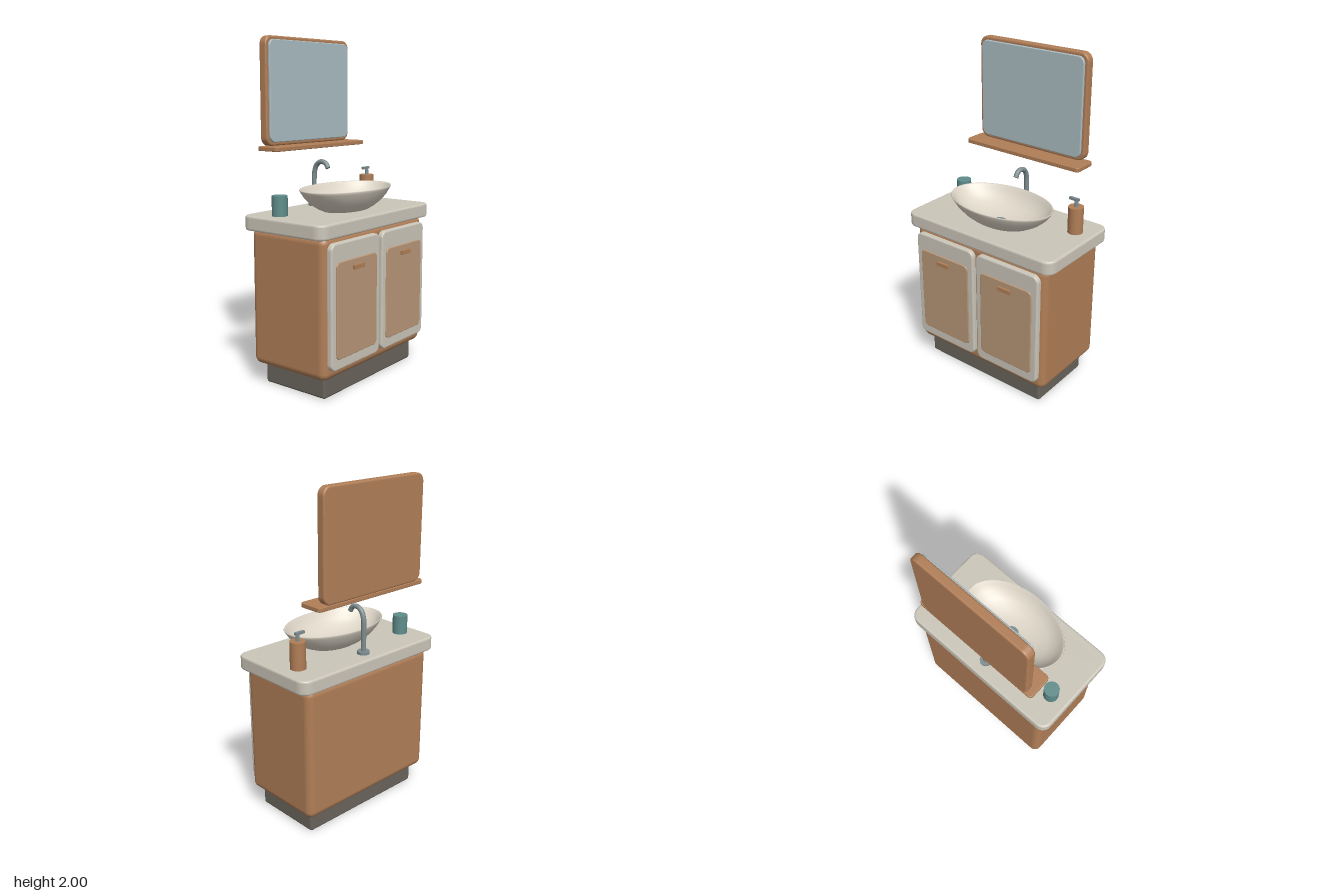
import * as THREE from 'three';
import { RoundedBoxGeometry } from 'three/addons/geometries/RoundedBoxGeometry.js';

const mat = (name, color, side = THREE.FrontSide) => {
  const m = new THREE.MeshStandardMaterial({ color, side });
  m.name = name;
  return m;
};

export function createModel() {
  const model = new THREE.Group();
  model.name = 'washstand';
  const wood = mat('wood', 0xb07e57);
  const panelWood = mat('light wood', 0xb89677);
  const stone = mat('stone', 0xcbc6b9);
  const ceramic = mat('ceramic', 0xddd5c7);
  const plinthGrey = mat('plinth grey', 0x69645c);
  const glass = mat('mirror glass', 0xaabdc3);
  const metal = mat('metal', 0x7f8d90);
  const teal = mat('teal', 0x5f8d8b);

  const add = (name, geometry, material, x = 0, y = 0, z = 0, parent = model) => {
    const mesh = new THREE.Mesh(geometry, material);
    mesh.name = name;
    mesh.position.set(x, y, z);
    parent.add(mesh);
    return mesh;
  };

  // Bevelled slab with rounded corners, centred, facing +z
  const slab = (w, h, d, r, bevel, segments = 5) => {
    const x = w / 2 - bevel, y = h / 2 - bevel, c = r - bevel;
    const s = new THREE.Shape();
    s.absarc(x - c, y - c, c, 0, Math.PI / 2);
    s.absarc(-x + c, y - c, c, Math.PI / 2, Math.PI);
    s.absarc(-x + c, -y + c, c, Math.PI, Math.PI * 1.5);
    s.absarc(x - c, -y + c, c, Math.PI * 1.5, Math.PI * 2);
    s.closePath();
    return new THREE.ExtrudeGeometry(s, {
      depth: d - 2 * bevel, bevelThickness: bevel, bevelSize: bevel,
      bevelSegments: 3, curveSegments: segments,
    }).translate(0, 0, bevel - d / 2);
  };
  const flatSlab = (w, h, d, r, bevel, segments) =>
    slab(w, d, h, r, bevel, segments).rotateX(-Math.PI / 2);

  // Cabinet
  add('plinth', new RoundedBoxGeometry(0.86, 0.14, 0.44, 3, 0.015), plinthGrey, 0, 0.07, -0.01);
  add('cabinet', new RoundedBoxGeometry(0.97, 0.805, 0.54, 5, 0.045), wood, 0, 0.5225, -0.015);
  add('countertop', flatSlab(1.068, 0.085, 0.59, 0.06, 0.012, 3), stone, 0, 0.9575, -0.013);

  // Pair of doors with inset panels and pulls
  for (const side of [-1, 1]) {
    const door = new THREE.Group();
    door.name = side < 0 ? 'rightDoor' : 'leftDoor';
    door.position.x = side * 0.2335;
    model.add(door);
    add('doorFrame', slab(0.445, 0.71, 0.04, 0.04, 0.01), stone, 0, 0.535, 0.264, door);
    add('doorPanel', slab(0.37, 0.545, 0.02, 0.03, 0.005), panelWood, 0, 0.513, 0.281, door);
    add('doorPull', new THREE.BoxGeometry(0.09, 0.024, 0.022), wood, 0, 0.738, 0.295, door);
  }

  // Oval vessel basin
  const profile = [
    [0, 1], [0.17, 1], [0.215, 1.018], [0.265, 1.047], [0.308, 1.083], [0.335, 1.118], [0.343, 1.13],
    [0.34, 1.135], [0.332, 1.132], [0.318, 1.112], [0.285, 1.078], [0.235, 1.047], [0.16, 1.023],
    [0.08, 1.012], [0, 1.01],
  ].map(([r, y]) => new THREE.Vector2(r, y));
  add('basin', new THREE.LatheGeometry(profile, 64).scale(1, 1, 0.627), ceramic, 0, 0, 0.03);
  add('drain', new THREE.CylinderGeometry(0.033, 0.033, 0.008, 28).scale(1, 1, 0.64),
    metal, 0, 1.013, 0.03);

  // Gooseneck faucet
  const faucet = new THREE.Group();
  faucet.name = 'faucet';
  model.add(faucet);
  const neck = new THREE.CatmullRomCurve3([
    [-0.216, 1], [-0.216, 1.08], [-0.216, 1.16], [-0.213, 1.21], [-0.195, 1.253], [-0.16, 1.271],
    [-0.126, 1.262], [-0.108, 1.235],
  ].map(([z, y]) => new THREE.Vector3(0, y, z)));
  add('faucetBase', new THREE.CylinderGeometry(0.036, 0.036, 0.018, 28), metal, 0, 1.009, -0.215, faucet);
  add('faucetNeck', new THREE.TubeGeometry(neck, 48, 0.015, 14), metal, 0, 0, 0, faucet);
  const tip = add('faucetTip', new THREE.CircleGeometry(0.015, 14), metal, 0, 1.235, -0.108, faucet);
  tip.quaternion.setFromUnitVectors(new THREE.Vector3(0, 0, 1), neck.getTangent(1));

  // Soap dispenser and cup
  const soap = new THREE.Group();
  soap.name = 'soapDispenser';
  soap.position.set(0.418, 0, -0.127);
  model.add(soap);
  add('soapBottle', new THREE.CylinderGeometry(0.045, 0.045, 0.16, 28), wood, 0, 1.08, 0, soap);
  add('pumpStem', new THREE.CylinderGeometry(0.01, 0.012, 0.045, 16), metal, 0, 1.18, 0, soap);
  add('pumpNozzle', new THREE.BoxGeometry(0.062, 0.015, 0.017), metal, -0.014, 1.203, 0, soap);
  add('cup', new THREE.CylinderGeometry(0.045, 0.045, 0.115, 28), teal, -0.419, 1.0575, -0.117);

  // Mirror with a shelf below
  add('mirrorFrame', slab(0.756, 0.62, 0.052, 0.05, 0.01), wood, 0, 1.69, -0.273);
  add('mirrorGlass', slab(0.716, 0.58, 0.022, 0.04, 0.005), glass, 0, 1.69, -0.246);
  add('shelf', flatSlab(0.82, 0.025, 0.155, 0.022, 0.004, 2), wood, 0, 1.3675, -0.219);

  return model;
}
